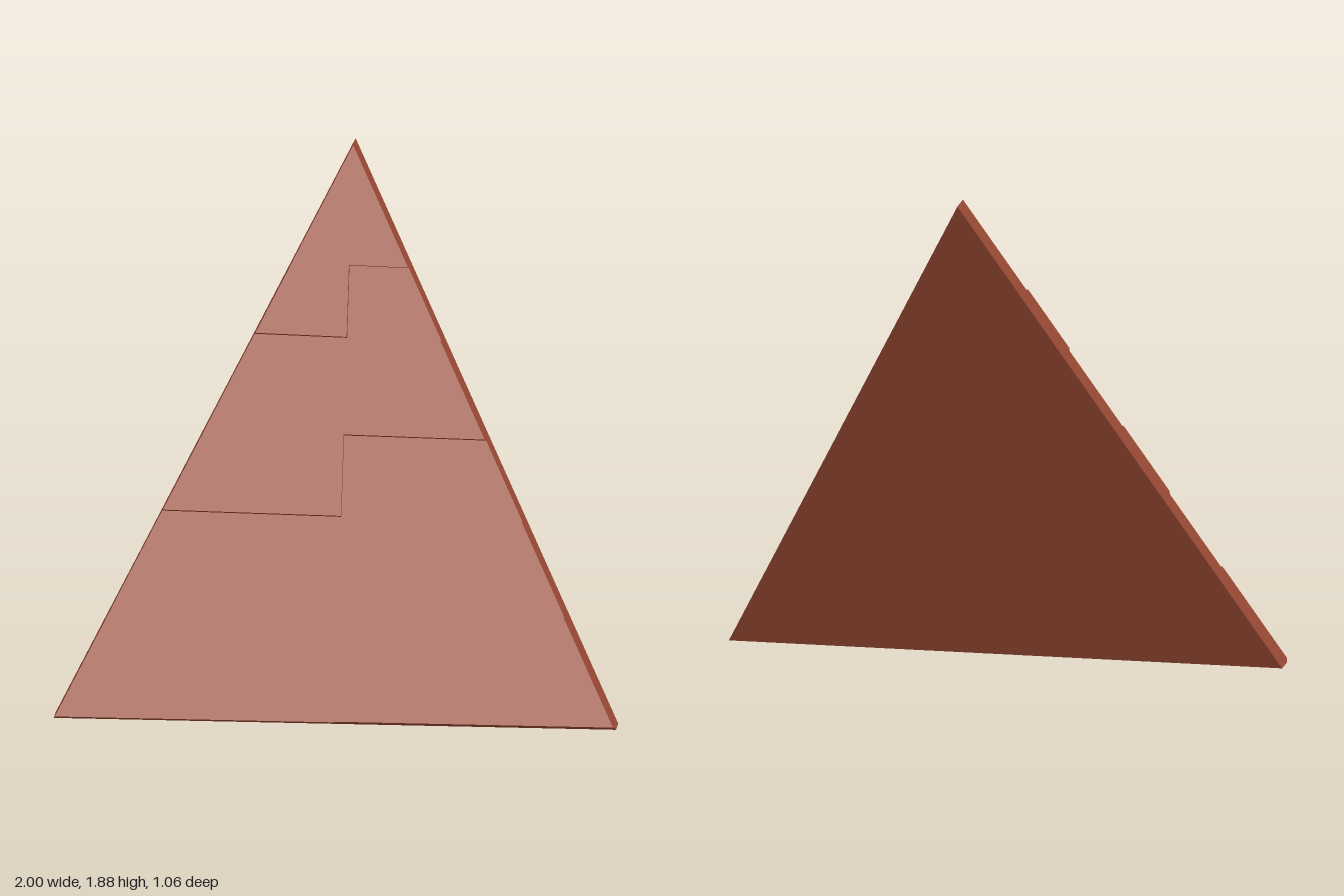
import * as THREE from 'three';

const HEIGHT = 1.88, APEX_X = -0.015;
const SLAB_DEPTH = 0.09;
const NORMAL = new THREE.Vector3(0, 1, 2).normalize();

// x of the left-hand edge (-1), centre seam (0) and right-hand edge (1) at height y
const lineX = (side, y) => side + (APEX_X - side) * (y / HEIGHT);
const backZ = (y) => 0.41 - 0.5 * y;

// Flat-sided solid between two matching loops, counter-clockwise from the front
function prism(back, front) {
  const pos = [];
  const tri = (...corners) => corners.forEach((p) => pos.push(p.x, p.y, p.z));
  const n = back.length;
  for (let i = 1; i < n - 1; i++) {
    tri(front[0], front[i], front[i + 1]);
    tri(back[0], back[i + 1], back[i]);
  }
  for (let i = 0; i < n; i++) {
    const j = (i + 1) % n;
    tri(back[i], back[j], front[j]);
    tri(back[i], front[j], front[i]);
  }
  const geometry = new THREE.BufferGeometry();
  geometry.setAttribute('position', new THREE.Float32BufferAttribute(pos, 3));
  geometry.computeVertexNormals();
  return geometry;
}

export function createModel() {
  const group = new THREE.Group();
  const clay = new THREE.MeshStandardMaterial({ color: 0x9e4c35 });
  clay.name = 'terracotta';
  const add = (name, geometry) => {
    const mesh = new THREE.Mesh(geometry, clay);
    mesh.name = name;
    group.add(mesh);
  };

  // Leaning triangular slab
  const outline = [[-1, 0], [1, 0], [0, HEIGHT]];
  const slabLoop = (depth) => outline.map(([s, y]) =>
    new THREE.Vector3(lineX(s, y), y, backZ(y) + depth));
  add('slab', prism(slabLoop(0), slabLoop(SLAB_DEPTH)));

  // Seam heights at the left edge, centre and right edge
  const seams = [
    [0, 0, 0],
    [0.37, 0.362, 0.356],
    [0.678, 0.67, 0.666],
    [0.943, 0.935, 0.928],
    [1.257, 1.25, 1.247],
    [1.495, 1.487, 1.482],
    [HEIGHT, HEIGHT, HEIGHT],
  ];
  // Panel thickness, bottom row first: [left half, right half]
  const thickness = [
    [0.024, 0.035], [0.008, 0.02], [0.024, 0.004],
    [0.012, 0.02], [0.028, 0.002], [0.01, 0.01],
  ];

  // Facing panels in two columns, each pushed out square to the slope
  const corner = (side, y, h) => {
    const top = Math.min(y + NORMAL.y * h, HEIGHT);
    const z = y === HEIGHT ? backZ(y) + SLAB_DEPTH + 1.118 * h
      : backZ(y) + SLAB_DEPTH + NORMAL.z * h;
    return new THREE.Vector3(lineX(side, top), top, z);
  };
  thickness.forEach((pair, row) => pair.forEach((h, col) => {
    const a = col, b = col + 1;
    const low = seams[row], high = seams[row + 1];
    const corners = [[a - 1, low[a]], [b - 1, low[b]], [b - 1, high[b]]];
    if (row < 5) corners.push([a - 1, high[a]]);
    const loop = (t) => corners.map(([s, y]) => corner(s, y, t));
    add(`${col ? 'left' : 'right'}Panel${row + 1}`, prism(loop(0), loop(h)));
  }));

  return group;
}
